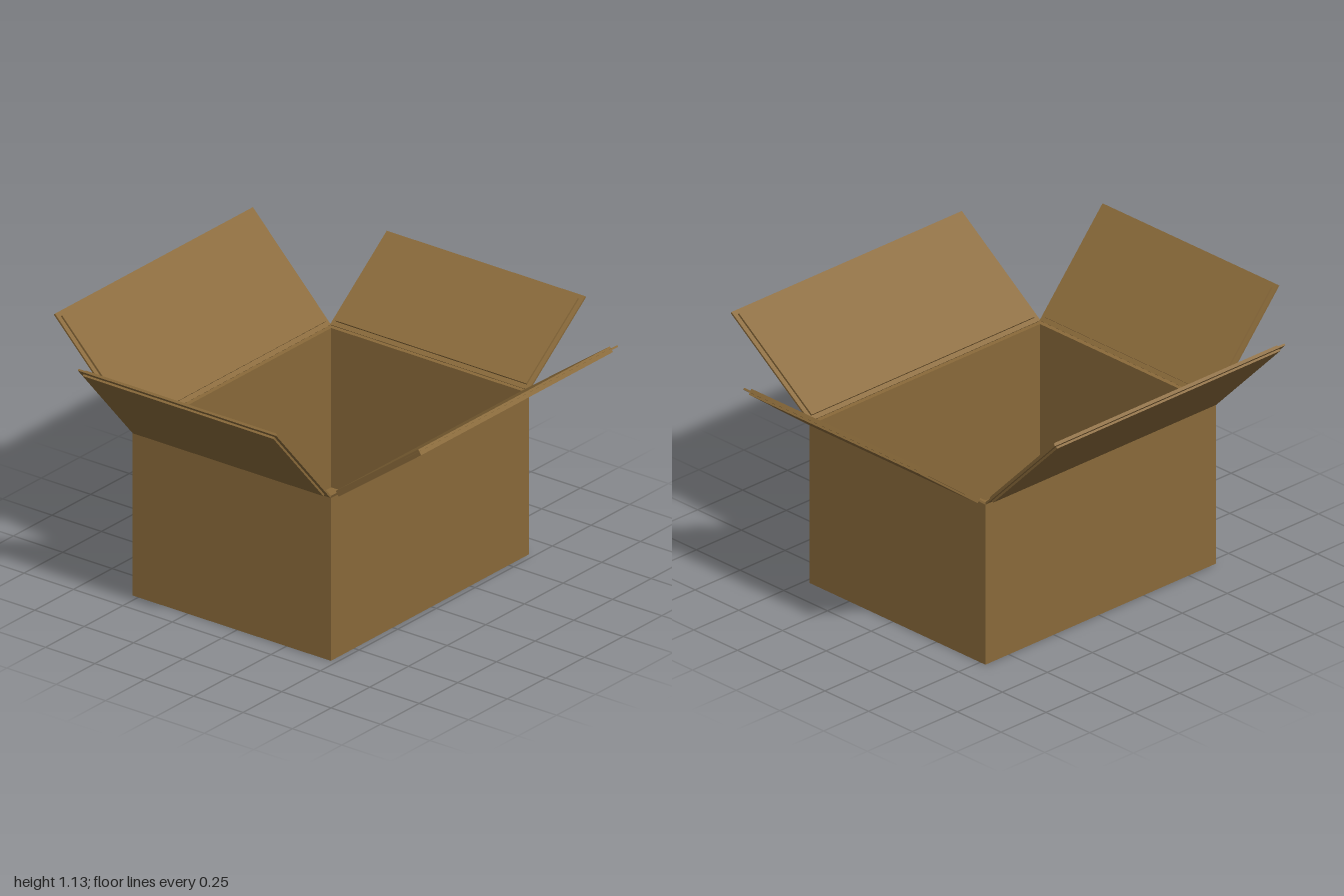
import * as THREE from 'three';

const material = new THREE.MeshStandardMaterial({ color: 0x8a6a3a, flatShading: true });

// Box footprint and height
const X0 = -0.53, X1 = 0.475, Z0 = -0.63, Z1 = 0.65, H = 0.72, WALL = 0.02;
const CX = (X0 + X1) / 2, CZ = (Z0 + Z1) / 2, W = X1 - X0, D = Z1 - Z0;

function box(name, w, h, d, x = 0, y = 0, z = 0) {
  const mesh = new THREE.Mesh(new THREE.BoxGeometry(w, h, d), material);
  mesh.name = name;
  mesh.position.set(x, y, z);
  return mesh;
}

function rectangle(PathType, w, d) {
  return new PathType([
    new THREE.Vector2(-w / 2, -d / 2), new THREE.Vector2(w / 2, -d / 2),
    new THREE.Vector2(w / 2, d / 2), new THREE.Vector2(-w / 2, d / 2),
  ]);
}

// Flap hinged at the rim: thin sheet with a thicker inset core
function flap(name, x, z, yaw, rise, length, width) {
  const hinge = new THREE.Group();
  hinge.name = name;
  hinge.position.set(x, H, z);
  hinge.rotation.set(0, yaw, rise); // XYZ order: tilt first, then yaw
  hinge.add(box('flapSheet', length, 0.008, width, length / 2));
  hinge.add(box('flapCore', length - 0.04, 0.026, width - 0.04, length / 2));
  return hinge;
}

export function createModel() {
  const model = new THREE.Group();
  model.name = 'openCardboardBox';

  // Four walls as one hollow rectangular tube
  const outline = rectangle(THREE.Shape, W, D);
  outline.holes.push(rectangle(THREE.Path, W - 2 * WALL, D - 2 * WALL));
  const tube = new THREE.ExtrudeGeometry(outline, { depth: H, bevelEnabled: false });
  tube.rotateX(-Math.PI / 2);
  const walls = new THREE.Mesh(tube, material);
  walls.name = 'walls';
  walls.position.set(CX, 0, CZ);
  model.add(walls);

  model.add(box('floor', W - 2 * WALL, WALL, D - 2 * WALL, CX, WALL / 2, CZ));

  // Name, hinge x, hinge z, yaw, end offset outward, end offset upward, width
  const flaps = [
    ['leftFlap', X1, CZ, 0, 0.45, 0.325, D],
    ['rightFlap', X0, CZ, Math.PI, 0.395, 0.403, D],
    ['frontFlap', CX, Z1, -Math.PI / 2, 0.35, 0.4, W],
    ['backFlap', CX, Z0, Math.PI / 2, 0.367, 0.278, W],
  ];
  for (const [name, x, z, yaw, out, up, width] of flaps) {
    model.add(flap(name, x, z, yaw, Math.atan2(up, out), Math.hypot(out, up), width));
  }
  return model;
}
